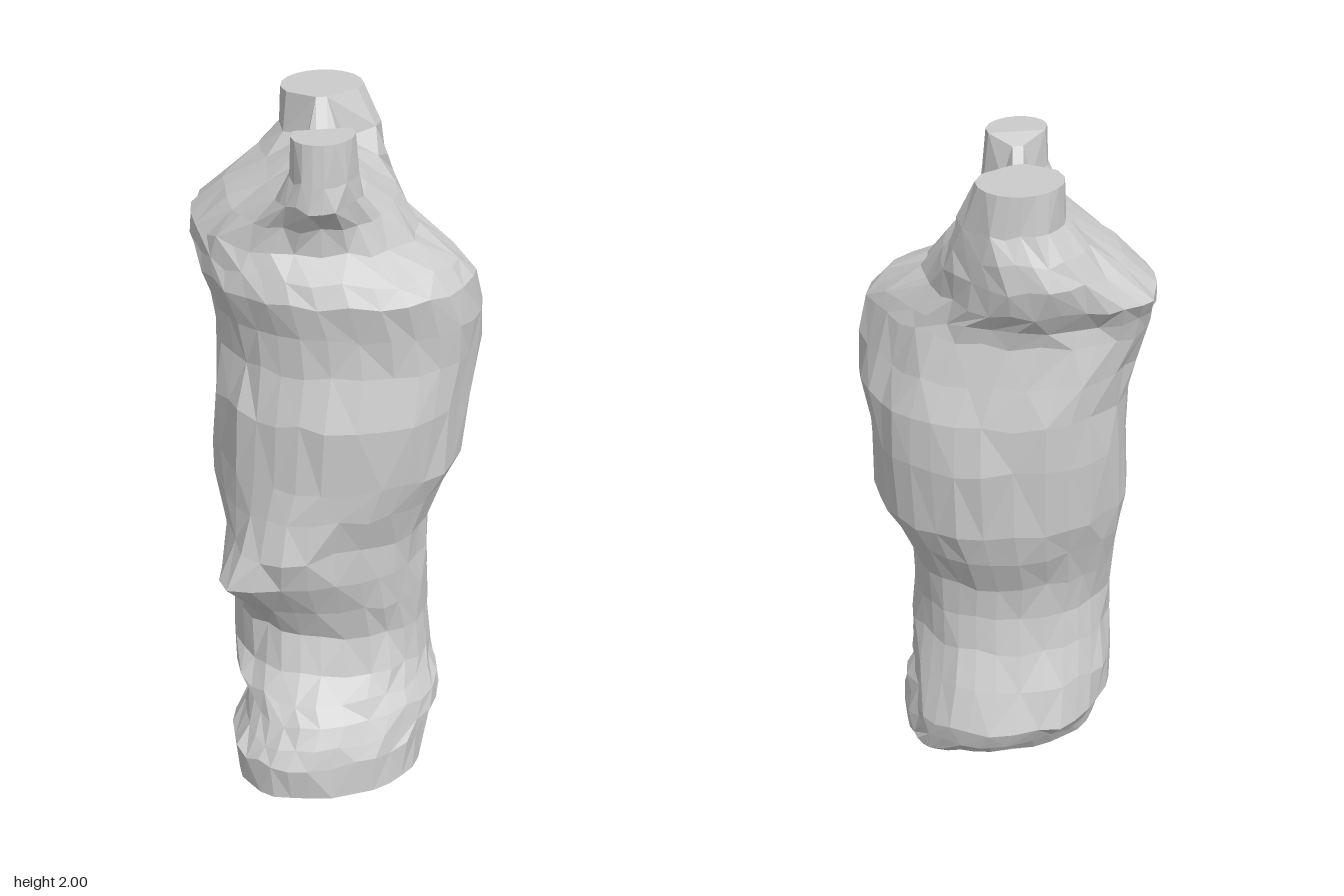
import * as THREE from 'three';

const SIDES = 32;

// Sections of the column: height, x min, x max, z min, z max, and thickness
// across the ridge that runs from the back left horn to the front right one
const LEVELS = [
  [0.00, -0.44, 0.18, -0.10, 0.43, 1.15],
  [0.11, -0.44, 0.25, -0.13, 0.43, 1.06],
  [0.16, -0.41, 0.37, -0.15, 0.42, 0.96],
  [0.22, -0.37, 0.43, -0.18, 0.41, 0.9],
  [0.27, -0.33, 0.43, -0.28, 0.38, 0.9],
  [0.33, -0.28, 0.43, -0.32, 0.36, 0.92],
  [0.45, -0.25, 0.38, -0.31, 0.34, 1],
  [0.56, -0.28, 0.34, -0.28, 0.34, 1],
  [0.67, -0.31, 0.33, -0.26, 0.34, 1],
  [0.78, -0.32, 0.34, -0.28, 0.35, 1],
  [0.90, -0.33, 0.39, -0.31, 0.38, 1],
  [1.00, -0.33, 0.43, -0.33, 0.43, 1.02],
  [1.20, -0.32, 0.44, -0.34, 0.43, 1.02],
  [1.34, -0.28, 0.43, -0.33, 0.43, 1.06],
  [1.45, -0.28, 0.39, -0.35, 0.43, 1.08],
  [1.56, -0.31, 0.34, -0.38, 0.42, 1.1],
  [1.61, -0.29, 0.33, -0.40, 0.38, 1.08],
  [1.67, -0.26, 0.33, -0.43, 0.27, 1],
  [1.75, -0.24, 0.33, -0.36, 0.23, 0.75],
  [1.82, -0.24, 0.33, -0.30, 0.22, 0.42],
  [1.89, -0.23, 0.32, -0.25, 0.22, 0.14],
  [2.00, -0.22, 0.30, -0.24, 0.21, 0.05],
];
const TOP = LEVELS.length - 1;

// Local lumps and hollows: centre, reach, push
const LUMPS = [
  { at: [0.20, 1.50, 0.38], reach: 0.17, push: [0.06, 0, 0.02] }, // front ledge corner
  { at: [0.15, 1.66, -0.38], reach: 0.12, push: [-0.03, 0, 0.04] }, // hollow by the back ledge
  { at: [0.27, 1.84, -0.02], reach: 0.13, push: [0, 0, 0.08] }, // foot of the larger horn
  { at: [-0.32, 0.67, 0.03], reach: 0.11, push: [-0.12, 0, -0.02] }, // knob
  { at: [-0.29, 0.79, 0.14], reach: 0.11, push: [-0.05, 0, 0.03] }, // top of the knob
  { at: [0.32, 0.27, 0.25], reach: 0.17, push: [-0.04, 0, -0.05] }, // flattened lower flank
];

function seeded(seed) {
  return () => ((seed = (seed * 16807) % 2147483647) / 2147483647);
}

const soft = (v) => Math.sign(v) * Math.abs(v) ** 0.88;

// Half width at u of a horn of radius r whose outer end is at u = side
function hornWidth(u, side, r) {
  return Math.sqrt(Math.max(0, r * r - (u - side * (1 - r)) ** 2));
}

// One closed ring, laid out along the ridge and fitted to its extents
function makeRing([y, x0, x1, z0, z1, k], level, rand) {
  const pts = [];
  for (let j = 0; j < SIDES; j++) {
    const t = (j / SIDES) * Math.PI * 2;
    const rough = level === TOP ? 1 : 1 + (rand() - 0.5) * 0.05;
    const u = soft(Math.cos(t));
    const half = Math.max(
      k * Math.abs(soft(Math.sin(t))),
      hornWidth(u, 1, 0.36 + 0.25 * Math.min(k, 1)),
      hornWidth(u, -1, 0.28 + 0.15 * Math.min(k, 1)),
    );
    const v = Math.sign(Math.sin(t)) * half;
    // the rim dips to a rounded saddle between the two horns
    let py = y;
    if (level === TOP) py = Math.min(2, 1.91 + 0.6 * Math.max(0, Math.abs(u + 0.12) - 0.2));
    else if (level > 0) py += (rand() - 0.5) * 0.02;
    pts.push(new THREE.Vector3((u + v) * rough, py, (v - u) * rough));
  }
  const box = new THREE.Box3().setFromPoints(pts);
  for (const p of pts) {
    p.x = THREE.MathUtils.mapLinear(p.x, box.min.x, box.max.x, x0, x1);
    p.z = THREE.MathUtils.mapLinear(p.z, box.min.z, box.max.z, z0, z1);
    const start = p.clone();
    for (const { at, reach, push } of LUMPS) {
      const d = start.distanceTo(new THREE.Vector3(...at)) / reach;
      p.addScaledVector(new THREE.Vector3(...push), Math.exp(-d * d));
    }
  }
  return pts;
}

function rockGeometry() {
  const rand = seeded(4711);
  const rings = LEVELS.map((l, i) => makeRing(l, i, rand));
  const pos = [], index = [];
  rings.flat().forEach((p) => pos.push(p.x, p.y, p.z));
  const id = (i, j) => i * SIDES + (j % SIDES);

  // Walls, with alternating diagonals
  for (let i = 0; i < TOP; i++) {
    for (let j = 0; j < SIDES; j++) {
      const a = id(i, j), b = id(i, j + 1), c = id(i + 1, j), d = id(i + 1, j + 1);
      if ((i + j) % 2) index.push(a, c, b, b, c, d);
      else index.push(a, c, d, a, d, b);
    }
  }

  // Base and saddle-shaped top, as strips across the ridge
  for (let j = 0; j < SIDES / 2; j++) {
    for (const i of [0, TOP]) {
      const p = id(i, j), p2 = id(i, j + 1), q = id(i, SIDES - j), q2 = id(i, SIDES - j - 1);
      const tris = [];
      if (p !== q) tris.push([p, q, p2]);
      if (p2 !== q2) tris.push([p2, q, q2]);
      for (const t of tris) index.push(...(i === TOP ? t : t.reverse()));
    }
  }

  const geo = new THREE.BufferGeometry();
  geo.setAttribute('position', new THREE.Float32BufferAttribute(pos, 3));
  geo.setIndex(index);
  const faceted = geo.toNonIndexed();
  faceted.computeVertexNormals();
  return faceted;
}

export function createModel() {
  const group = new THREE.Group();
  group.name = 'rockColumn';
  const material = new THREE.MeshStandardMaterial({ color: 0xcccccc, flatShading: true });
  const rock = new THREE.Mesh(rockGeometry(), material);
  rock.name = 'rock';
  group.add(rock);
  return group;
}
